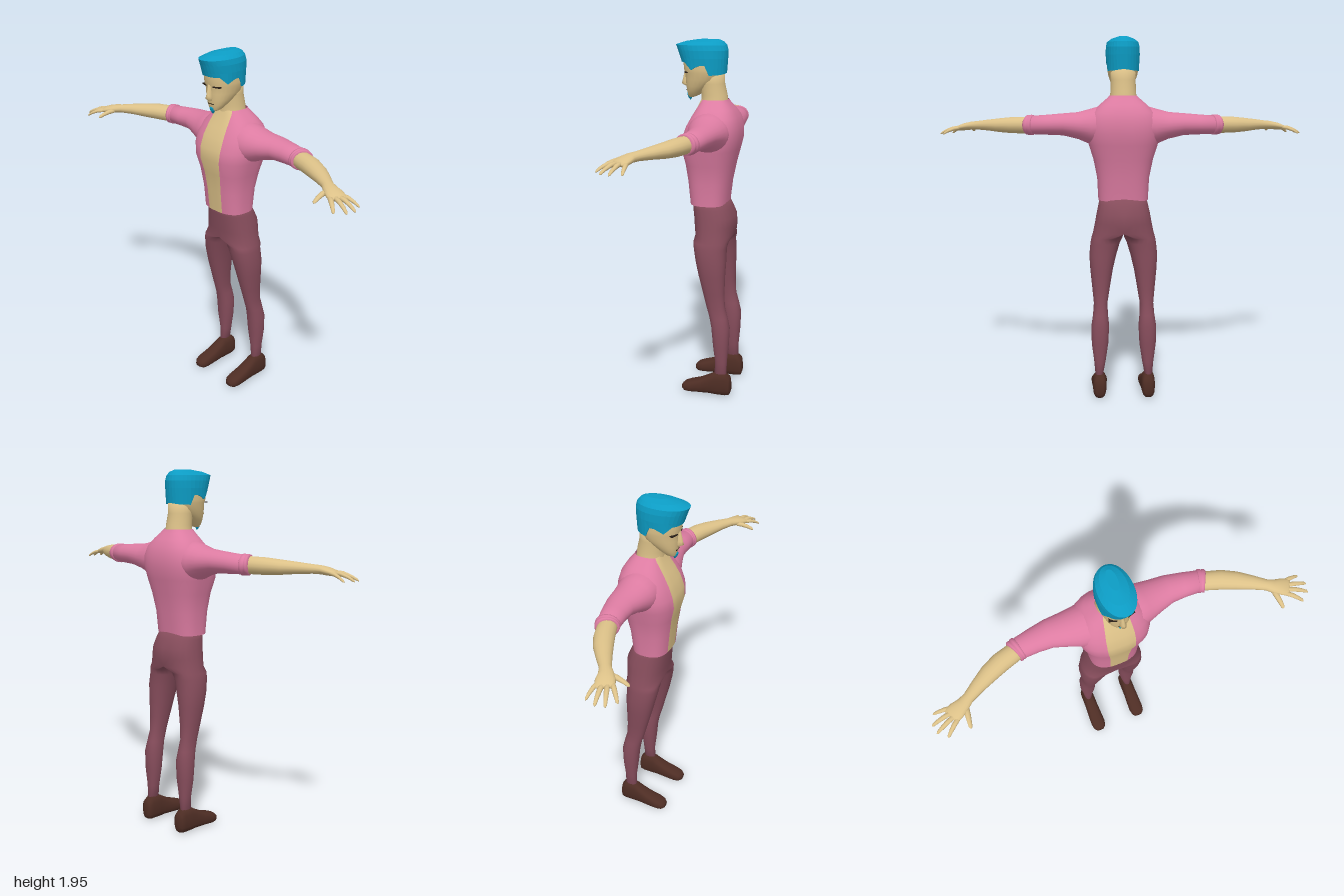
import * as THREE from 'three';

const mat = (color, flatShading = false) =>
  new THREE.MeshStandardMaterial({ color, flatShading, side: THREE.DoubleSide });
const SKIN = mat(0xdcc188), SHIRT = mat(0xdd7ca2), TROUSERS = mat(0x874d5c),
  SHOE = mat(0x4e2d24), HAIR = mat(0x0c9cc4, true), DARK = mat(0x2a2018);

const spow = (v, p) => Math.sign(v) * Math.pow(Math.abs(v), p);

// Skin a list of cross-sections; closed sections may be capped
function loft(rings, { closed = true, caps = true } = {}) {
  const n = rings[0].length, pos = [], idx = [];
  rings.forEach(r => r.forEach(v => pos.push(v.x, v.y, v.z)));
  const cols = closed ? n : n - 1;
  for (let i = 0; i < rings.length - 1; i++) {
    for (let j = 0; j < cols; j++) {
      const k = (j + 1) % n, a = i * n + j, b = i * n + k;
      idx.push(a, b, a + n, b, b + n, a + n);
    }
  }
  if (closed && caps) {
    [0, rings.length - 1].forEach(i => {
      const c = rings[i].reduce((s, v) => s.add(v), new THREE.Vector3()).divideScalar(n);
      const ci = pos.length / 3;
      pos.push(c.x, c.y, c.z);
      for (let j = 0; j < n; j++) {
        const a = i * n + j, b = i * n + (j + 1) % n;
        if (i === 0) idx.push(ci, b, a); else idx.push(ci, a, b);
      }
    });
  }
  const g = new THREE.BufferGeometry();
  g.setAttribute('position', new THREE.Float32BufferAttribute(pos, 3));
  g.setIndex(idx);
  g.computeVertexNormals();
  return g;
}

// Horizontal section; angle 0 faces the front, x may be cut at a minimum
function section(y, cx, rx, zf, zb, { p = 1, n = 24, from = 0, to = Math.PI * 2, minX = -9, open = false } = {}) {
  const pts = [];
  for (let j = 0; j < n + (open ? 1 : 0); j++) {
    const t = from + (to - from) * j / n;
    pts.push(new THREE.Vector3(
      Math.max(minX, cx + rx * spow(Math.sin(t), p)),
      typeof y === 'function' ? y(t) : y,
      (zf + zb) / 2 + (zf - zb) / 2 * spow(Math.cos(t), p)));
  }
  return pts;
}

// Limb along a path of [x, y, z, half height, half width]
function limb(path, { n = 16, p = 1 } = {}) {
  const up = new THREE.Vector3(0, 1, 0);
  return loft(path.map(([x, y, z, ry, rw], i) => {
    const a = path[Math.max(0, i - 1)], b = path[Math.min(path.length - 1, i + 1)];
    const T = new THREE.Vector3(b[0] - a[0], 0, b[2] - a[2]).normalize();
    const side = T.cross(up);
    return Array.from({ length: n }, (_, j) => {
      const t = j / n * Math.PI * 2;
      return new THREE.Vector3(x, y, z)
        .addScaledVector(up, ry * spow(Math.cos(t), p))
        .addScaledVector(side, rw * spow(Math.sin(t), p));
    });
  }));
}

function mirrored(g) {
  const m = g.clone().scale(-1, 1, 1), ix = m.index.array;
  for (let i = 0; i < ix.length; i += 3) [ix[i], ix[i + 1]] = [ix[i + 1], ix[i]];
  return m;
}

export function createModel() {
  const model = new THREE.Group();
  const add = (name, g, m) => {
    const mesh = new THREE.Mesh(g, m);
    mesh.name = name;
    model.add(mesh);
  };
  const pair = (name, g, m) => {
    add('left' + name, g, m);
    add('right' + name, mirrored(g), m);
  };

  // Torso: [y, half width, front z, back z, half width of the open front]
  const torso = [
    [1.08, .134, .054, -.146, .05], [1.2, .14, .066, -.16, .052], [1.3, .16, .08, -.18, .06],
    [1.38, .185, .1, -.2, .072], [1.44, .195, .094, -.214, .076], [1.5, .19, .072, -.213, .075],
    [1.55, .165, .045, -.2, .07], [1.59, .125, .022, -.175, .065], [1.62, .09, .008, -.15, .062],
    [1.638, .072, 0, -.139, .055]];
  const P = .75;
  const torsoPart = shirt => loft(torso.map(([y, rx, zf, zb, w]) => {
    const a = Math.asin(Math.pow(w / rx, 1 / P));
    return section(y, 0, rx, zf, zb, shirt
      ? { p: P, n: 40, from: a, to: Math.PI * 2 - a, open: true }
      : { p: P, n: 8, from: -a, to: a, open: true });
  }), { closed: false });
  add('shirtBody', torsoPart(true), SHIRT);
  add('bareChest', torsoPart(false), SKIN);

  // Sleeves with rolled cuffs
  pair('Sleeve', limb([
    [.08, 1.47, -.07, .105, .11], [.13, 1.475, -.072, .106, .114], [.18, 1.475, -.076, .092, .104],
    [.24, 1.48, -.082, .071, .09], [.32, 1.487, -.088, .058, .075], [.4, 1.485, -.082, .053, .065],
    [.49, 1.483, -.07, .048, .056]], { n: 24 }), SHIRT);
  pair('Cuff', limb([
    [.474, 1.483, -.074, .046, .054], [.478, 1.483, -.073, .054, .062], [.488, 1.483, -.07, .054, .062],
    [.493, 1.483, -.068, .049, .057], [.498, 1.483, -.066, .053, .061], [.507, 1.483, -.063, .052, .06],
    [.511, 1.483, -.061, .044, .05]], { n: 24 }), SHIRT);

  // Forearm running into the palm
  pair('Forearm', limb([
    [.46, 1.483, -.078, .042, .048], [.52, 1.482, -.058, .044, .049], [.59, 1.481, -.036, .043, .051],
    [.66, 1.479, -.004, .037, .047], [.73, 1.478, .036, .029, .037], [.79, 1.475, .073, .023, .029],
    [.825, 1.472, .094, .022, .037], [.86, 1.466, .108, .02, .046], [.89, 1.459, .12, .015, .047],
    [.9, 1.457, .125, .008, .04]]), SKIN);

  // Fingers and thumb: base x, z, tip x, z, radius
  const fingers = [
    [.885, .083, .977, .07, .01], [.895, .108, .998, .124, .011], [.89, .132, .988, .17, .011],
    [.872, .15, .944, .208, .011], [.815, .115, .828, .21, .013]];
  fingers.forEach(([x0, z0, x1, z1, r], i) => {
    const y0 = i === 4 ? 1.464 : 1.46, y1 = i === 4 ? 1.44 : 1.427;
    const path = [[0, 1.1], [.35, 1.1], [.7, .9], [.93, .7], [1, .25]].map(([t, s]) => [
      x0 + (x1 - x0) * t, y0 + (y1 - y0) * t * t, z0 + (z1 - z0) * t, r * s * .85, r * s]);
    pair(i === 4 ? 'Thumb' : 'Finger' + (i + 1), limb(path, { n: 10 }), SKIN);
  });

  // Trouser halves: [y, inner x, outer x, front z, back z]; hips meet on the midline
  const leg = [
    [.13, .113, .156, -.11, -.177], [.2, .1, .162, -.112, -.178], [.3, .085, .175, -.1, -.187],
    [.4, .08, .176, -.09, -.191], [.46, .086, .167, -.078, -.178], [.52, .088, .162, -.06, -.162],
    [.6, .075, .17, -.04, -.158], [.7, .058, .18, -.014, -.16], [.78, .039, .185, .004, -.163],
    [.85, .018, .178, .018, -.162], [.88, .004, .172, .022, -.17]];
  const hips = [[.91, .163, .026, -.182], [.96, .153, .032, -.188], [1.01, .144, .037, -.186],
    [1.06, .133, .043, -.165], [1.1, .123, .047, -.143]];
  const legGeo = loft([
    ...leg.map(([y, a, b, zf, zb]) => section(y, (a + b) / 2, (b - a) / 2, zf, zb, { p: .9 })),
    ...hips.map(([y, b, zf, zb]) => section(y, 0, b, zf, zb, { p: .85, minX: 0 }))]);
  const lp = legGeo.attributes.position, ln = legGeo.attributes.normal, v = new THREE.Vector3();
  for (let i = 0; i < lp.count; i++) { // smooth shading across the midline
    if (lp.getX(i) > 1e-4) continue;
    v.set(0, ln.getY(i), ln.getZ(i)).normalize();
    ln.setXYZ(i, v.x, v.y, v.z);
  }
  pair('TrouserLeg', legGeo, TROUSERS);

  // Shoes: [z, bottom, top, half width]
  const shoe = [[-.202, .025, .08, .02], [-.195, .006, .115, .033], [-.17, 0, .135, .037],
    [-.115, 0, .134, .038], [-.08, .003, .112, .039], [-.03, .002, .086, .042], [.03, 0, .066, .044],
    [.06, .002, .054, .038], [.077, .012, .038, .022]];
  pair('Shoe', limb(shoe.map(([z, b, t, w]) => [.133, (b + t) / 2, z, (t - b) / 2, w]), { p: .75 }), SHOE);

  // Neck and head
  const stack = (rows, opt) => loft(rows.map(([y, rx, zf, zb]) => section(y, 0, rx, zf, zb, opt)));
  add('neck', stack([[1.56, .085, .015, -.15], [1.62, .071, .006, -.139], [1.66, .068, .004, -.134],
    [1.72, .066, .01, -.12], [1.78, .07, .02, -.118]]), SKIN);
  add('head', stack([[1.645, .018, .072, .045], [1.655, .034, .078, .02], [1.68, .052, .083, -.015],
    [1.705, .064, .086, -.05], [1.74, .077, .089, -.1], [1.775, .083, .09, -.118],
    [1.79, .085, .098, -.121], [1.83, .085, .101, -.123], [1.88, .08, .1, -.12],
    [1.92, .055, .07, -.09]], { p: .9 }), SKIN);
  add('nose', stack([[1.703, .01, .096, .07], [1.714, .017, .116, .07], [1.73, .013, .111, .07],
    [1.785, .008, .098, .075]], { n: 8 }), SKIN);
  const eye = new THREE.BoxGeometry(.042, .006, .02).rotateY(.3).translate(.043, 1.777, .077);
  pair('Eye', eye, DARK);
  add('mouth', new THREE.BoxGeometry(.04, .004, .01).translate(0, 1.684, .079), DARK);
  add('goatee', stack([[1.63, .003, .07, .064], [1.645, .013, .081, .058], [1.66, .015, .086, .06],
    [1.667, .006, .084, .07]], { n: 8 }), HAIR);

  // Swept hair with sideburns and a notched lower edge
  const edge = [[0, 1.832], [.8, 1.828], [1.2, 1.79], [1.45, 1.812], [1.75, 1.82], [1.95, 1.765],
    [2.6, 1.768], [3.15, 1.775]];
  const hairline = t => {
    const a = t > Math.PI ? Math.PI * 2 - t : t;
    const i = Math.max(1, edge.findIndex(e => e[0] >= a));
    const [t0, y0] = edge[i - 1], [t1, y1] = edge[i];
    return y0 + (y1 - y0) * (a - t0) / (t1 - t0);
  };
  add('hair', loft([[hairline, .089, .112, -.129], [1.85, .091, .118, -.135], [1.89, .09, .132, -.137],
    [1.917, .084, .143, -.13], [1.934, .06, .09, -.115], [1.945, .024, .02, -.09]]
    .map(([y, rx, zf, zb]) => section(y, 0, rx, zf, zb, { n: 32, p: .95 })), {}), HAIR);

  return model;
}
